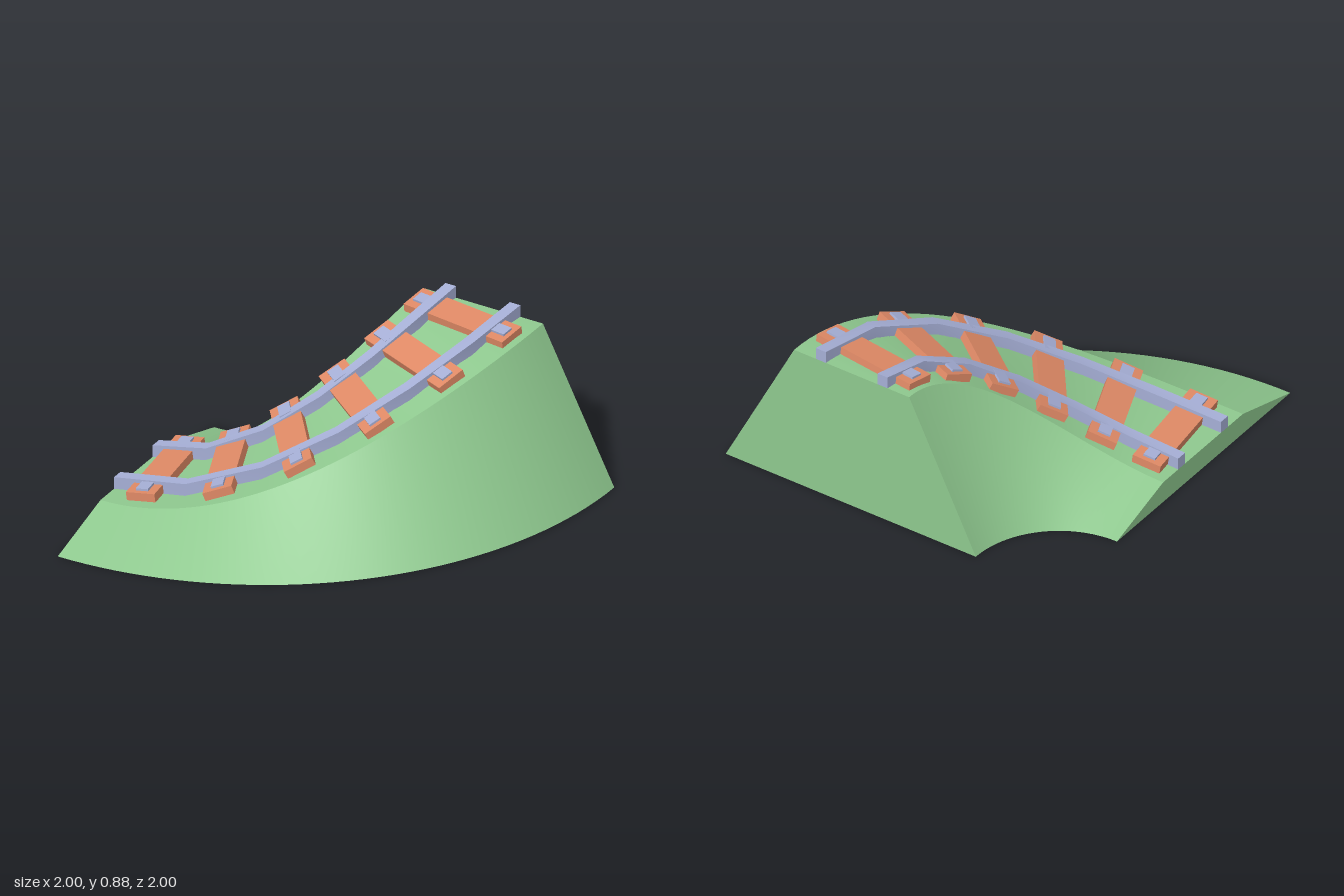
import * as THREE from 'three';

const QUARTER = Math.PI / 2;
// Height of the track bed along the bend (t from 0 at the top to 1 at the bottom)
const height = (t) => 0.465 + 0.345 * Math.cos(Math.PI * t);

// Sweep a convex section [[r, y], ...] (counterclockwise) round the corner at (-1, -1)
function sweep(section, steps) {
  const pos = [], index = [];
  const ring = (t) => section(t).map(([r, y]) =>
    [-1 + r * Math.cos(t * QUARTER), y, -1 + r * Math.sin(t * QUARTER)]);
  const rings = Array.from({ length: steps + 1 }, (_, i) => ring(i / steps));
  const sides = rings[0].length;
  // each side is its own strip: smooth along, sharp across
  for (let s = 0; s < sides; s++) {
    const base = pos.length / 3;
    rings.forEach((p) => pos.push(...p[s], ...p[(s + 1) % sides]));
    for (let i = 0; i < steps; i++) {
      const a = base + i * 2;
      index.push(a, a + 1, a + 3, a, a + 3, a + 2);
    }
  }
  // end caps
  [rings[0].slice().reverse(), rings[steps]].forEach((cap) => {
    const base = pos.length / 3;
    cap.forEach((p) => pos.push(...p));
    for (let k = 1; k < sides - 1; k++) index.push(base, base + k, base + k + 1);
  });
  const geo = new THREE.BufferGeometry();
  geo.setAttribute('position', new THREE.Float32BufferAttribute(pos, 3));
  geo.setIndex(index);
  geo.computeVertexNormals();
  return geo;
}

export function createModel() {
  const grass = new THREE.MeshStandardMaterial({ name: 'grass green', color: 0x8fc98f });
  const wood = new THREE.MeshStandardMaterial({ name: 'sleeper orange', color: 0xe08a66 });
  const steel = new THREE.MeshStandardMaterial({ name: 'rail lavender', color: 0xa6afd6 });

  const model = new THREE.Group();
  model.name = 'curvedSlopeTrack';
  const add = (parent, name, geo, mat, x = 0, y = 0, z = 0) => {
    const mesh = new THREE.Mesh(geo, mat);
    mesh.name = name;
    mesh.position.set(x, y, z);
    parent.add(mesh);
    return mesh;
  };

  // Embankment with sloping sides
  add(model, 'embankment', sweep((t) =>
    [[0.5, 0], [2, 0], [1.59, height(t)], [0.9, height(t)]], 40), grass);

  // Two rails in six straight runs
  [['innerRail', 1.06], ['outerRail', 1.43]].forEach(([name, r]) => {
    add(model, name, sweep((t) => {
      const y = height(t);
      return [[r - 0.03, y], [r + 0.03, y], [r + 0.03, y + 0.066], [r - 0.03, y + 0.066]];
    }, 6), steel);
  });

  // Sleepers with rail plates, one in the middle of each run
  const sleeperGeo = new THREE.BoxGeometry(0.62, 0.045, 0.155);
  const plateGeo = new THREE.BoxGeometry(0.1, 0.024, 0.065);
  for (let i = 0; i < 6; i++) {
    const y0 = height(i / 6), y1 = height((i + 1) / 6);
    const angle = (i + 0.5) / 6 * QUARTER, r = 1.24;
    const sleeper = new THREE.Group();
    sleeper.name = 'sleeper' + (i + 1);
    sleeper.position.set(-1 + r * Math.cos(angle), (y0 + y1) / 2, -1 + r * Math.sin(angle));
    sleeper.rotation.set(Math.atan2(y0 - y1, 0.326), -angle, 0, 'YXZ');
    add(sleeper, 'plank', sleeperGeo, wood, 0, 0.025, 0);
    add(sleeper, 'innerPlate', plateGeo, steel, -0.235, 0.047, 0);
    add(sleeper, 'outerPlate', plateGeo, steel, 0.235, 0.047, 0);
    model.add(sleeper);
  }
  return model;
}
